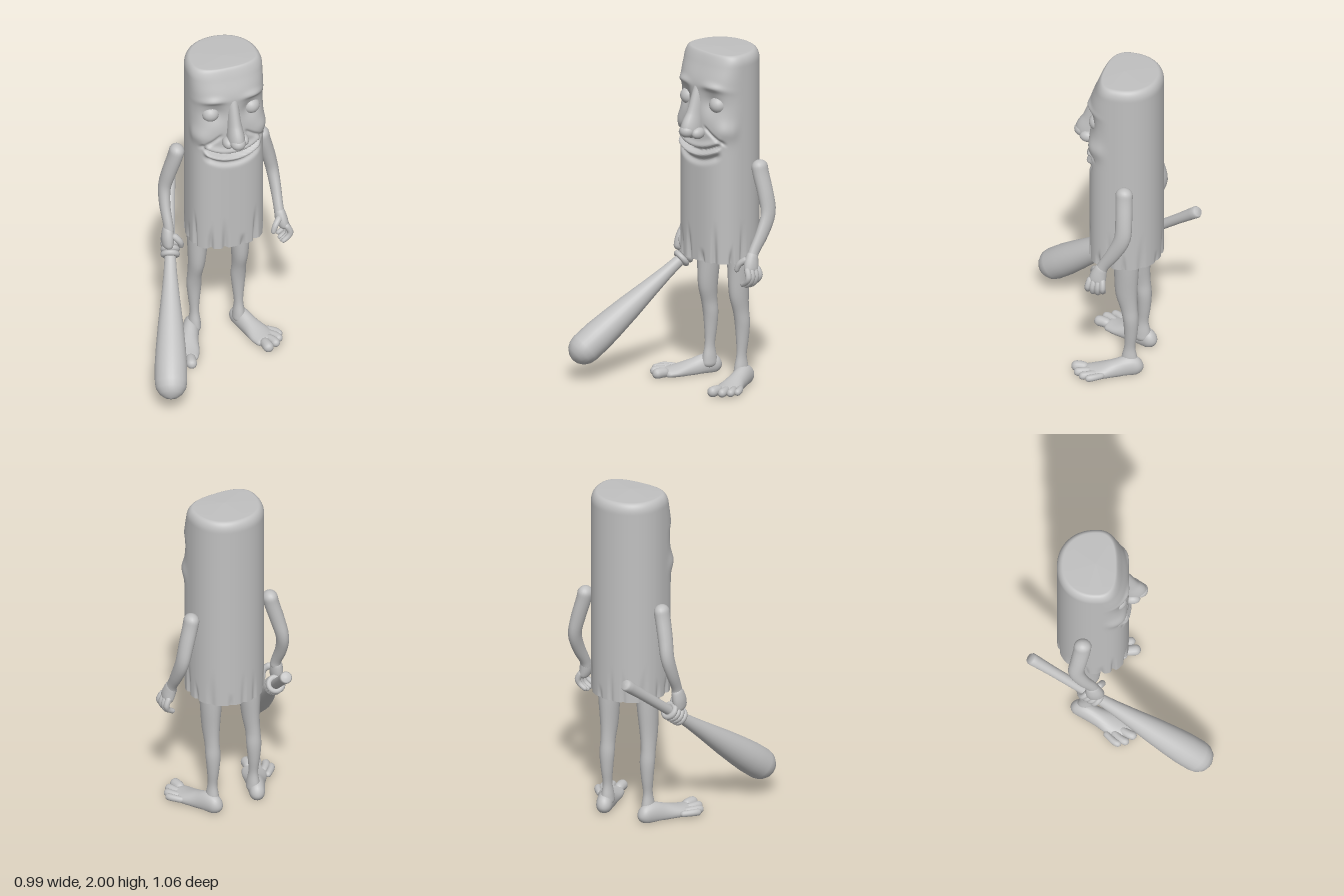
import * as THREE from 'three';

const grey = new THREE.MeshStandardMaterial({ color: 0xc0c0c0 });
grey.name = 'light grey';
const CX = 0.11; // centre line of the body

const V = (x, y, z) => new THREE.Vector3(x, y, z);
const clamp01 = t => Math.min(1, Math.max(0, t));
const smooth = (a, b, t) => { t = clamp01((t - a) / (b - a)); return t * t * (3 - 2 * t); };
const bell = (t, w) => Math.exp(-(t * t) / (w * w));

function add(parent, name, geometry) {
  const mesh = new THREE.Mesh(geometry, grey);
  mesh.name = name;
  parent.add(mesh);
  return mesh;
}

// Closed rings joined into one smooth skin; at(i, j) gives each point
function skin(rings, sides, at) {
  const pos = [], idx = [];
  for (let i = 0; i <= rings; i++) {
    for (let j = 0; j < sides; j++) {
      const p = at(i, j);
      pos.push(p.x, p.y, p.z);
      if (i === rings) continue;
      const k = (j + 1) % sides, a = i * sides;
      idx.push(a + j, a + k, a + sides + j, a + k, a + sides + k, a + sides + j);
    }
  }
  const g = new THREE.BufferGeometry();
  g.setAttribute('position', new THREE.Float32BufferAttribute(pos, 3));
  g.setIndex(idx);
  g.computeVertexNormals();
  return g;
}

// Round-ended limb through stations [x, y, z, radius along ref, other radius]
function limb(stations, ref = V(1, 0, 0), rings = 36, sides = 18, floor = -1) {
  const path = new THREE.CatmullRomCurve3(stations.map(s => V(s[0], s[1], s[2])));
  const size = new THREE.CatmullRomCurve3(stations.map((s, i) => V(s[3], s[4] ?? s[3], i * 0.05)));
  const first = path.getPoint(0), last = path.getPoint(1);
  return skin(rings, sides, (i, j) => {
    const t = (1 - Math.cos(Math.PI * i / rings)) / 2;
    const p = path.getPoint(t), r = size.getPoint(t), T = path.getTangent(t);
    const S = ref.clone().addScaledVector(T, -ref.dot(T)).normalize();
    const B = T.clone().cross(S);
    const d = Math.min(p.distanceTo(first), p.distanceTo(last));
    const f = clamp01(d / Math.min(r.x, r.y)), round = Math.sqrt(1 - (1 - f) ** 2);
    const a = 2 * Math.PI * j / sides;
    p.addScaledVector(S, Math.cos(a) * r.x * round).addScaledVector(B, Math.sin(a) * r.y * round);
    p.y = Math.max(floor, p.y);
    return p;
  });
}

function ball(parent, name, x, y, z, rx, ry, rz) {
  const m = add(parent, name, new THREE.SphereGeometry(1, 24, 16));
  m.position.set(x, y, z);
  m.scale.set(rx, ry, rz);
  return m;
}

// Facial relief; X is the distance from the centre line
function faceRelief(X, y) {
  let d = -0.032 * bell(X - 0.115, 0.065) * bell(y - 1.715, 0.07);       // eye sockets
  d += 0.016 * bell(X - 0.12, 0.06) * bell(y - 1.815 + 2 * (X - 0.1) ** 2, 0.022); // brows
  d += 0.018 * bell(X - 0.18, 0.05) * bell(y - 1.555, 0.055);            // cheeks
  const mouth = y - 1.425 - 1.7 * X * X, width = 1 - smooth(0.14, 0.18, X);
  d += width * (0.016 * bell(mouth + 0.024, 0.018) - 0.03 * bell(mouth, 0.011)
    + 0.014 * bell(mouth - 0.027, 0.02) - 0.018 * bell(mouth + 0.062, 0.018));
  const fold = y - 1.57 + 0.75 * (X - 0.07);                             // smile folds
  d -= 0.014 * bell(fold, 0.012) * smooth(0.06, 0.09, X) * (1 - smooth(0.17, 0.2, X));
  return d;
}

function bodyGeometry() {
  const wall = 150, rim = 10, lid = 5, sides = 180;
  return skin(wall + rim + lid, sides, (i, j) => {
    const a = -2 * Math.PI * j / sides, c = Math.cos(a), s = Math.sin(a);
    let y = 0.765 + 1.17 * Math.min(1, i / wall), k = 1;
    if (i > wall) {
      const q = Math.min(1, (i - wall) / rim) * Math.PI / 2;
      y += 0.06 * Math.sin(q);
      k = 1 - 0.16 * (1 - Math.cos(q));
    }
    if (i > wall + rim) {
      const q = (i - wall - rim) / lid;
      y += 0.005 * q;
      k *= 1 - q;
    }
    // Flattened front, rounder back
    const e = s > 0 ? 2 / 2.7 : 2 / 2.15;
    const x = 0.221 * Math.sign(c) * Math.abs(c) ** e;
    const depth = s > 0 ? 0.188 - 0.055 * smooth(1.8, 2, y) : 0.222;
    const z = depth * Math.sign(s) * Math.abs(s) ** e;
    let d = faceRelief(Math.abs(x), y) * smooth(0.05, 0.4, s);
    // Strands along the hem
    const wave = Math.sin(15 * a + 1.5 * Math.sin(4 * a));
    const reach = 0.94 + 0.09 * Math.sin(7 * a + 1);
    d -= 0.02 * Math.max(0, wave) ** 2 * (1 - smooth(0.765, reach, y)) * (0.45 + 0.55 * clamp01(s + 0.6));
    return V(CX + x * k + c * d, y, -0.133 + z * k + s * d);
  });
}

function makeHead(g) {
  add(g, 'body', bodyGeometry());
  const base = add(g, 'bodyUnderside', new THREE.CircleGeometry(1, 48));
  base.rotation.x = Math.PI / 2;
  base.scale.set(0.213, 0.193, 1);
  base.position.set(CX, 0.768, -0.147);
  add(g, 'nose', limb([
    [CX, 1.87, 0.01, 0.03, 0.02], [CX, 1.76, 0.025, 0.033, 0.045], [CX, 1.64, 0.052, 0.04, 0.062],
    [CX, 1.555, 0.08, 0.05, 0.078], [CX, 1.5, 0.085, 0.045, 0.06]], V(1, 0, 0), 40, 24));
  ball(g, 'noseTip', CX, 1.548, 0.117, 0.045, 0.04, 0.048);
  for (const s of [-1, 1]) {
    ball(g, 'nostril', CX + s * 0.048, 1.535, 0.075, 0.03, 0.034, 0.045);
    ball(g, 'eye', CX + s * 0.122, 1.705, -0.01, 0.052, 0.05, 0.052);
  }
}

function makeLegs(g) {
  // Each foot: ankle x, heel x, ball-of-foot x, then toe tips [x, z, radius]
  const legs = [
    ['left', 0.225, 0.213, 0.325, [[0.3, 0.1, 0.031], [0.35, 0.072, 0.025], [0.38, 0.035, 0.023], [0.395, -0.005, 0.02]]],
    ['right', -0.042, -0.028, -0.175, [[-0.16, 0.1, 0.031], [-0.212, 0.07, 0.025], [-0.245, 0.028, 0.023], [-0.256, -0.015, 0.02]]],
  ];
  for (const [side, x, heel, front, toes] of legs) {
    const h = side === 'left' ? 0 : 0.012;
    add(g, side + 'Leg', limb([
      [x + h, 0.86, -0.175, 0.068, 0.078], [x + h, 0.7, -0.177, 0.06, 0.072], [x + h / 2, 0.54, -0.177, 0.048, 0.064],
      [x, 0.44, -0.192, 0.041, 0.05], [x, 0.36, -0.203, 0.043, 0.045], [x, 0.26, -0.203, 0.034, 0.038],
      [x, 0.17, -0.197, 0.026, 0.032], [x, 0.1, -0.195, 0.034, 0.045], [x, 0.03, -0.195, 0.04, 0.055]], V(1, 0, 0), 50, 20));
    const across = V(0.3, 0, heel - front).normalize();
    const mid = t => heel + (front - heel) * t;
    add(g, side + 'Foot', limb([
      [heel, 0.035, -0.275, 0.04, 0.04], [mid(0.22), 0.045, -0.205, 0.048, 0.065], [mid(0.5), 0.03, -0.12, 0.055, 0.056],
      [mid(0.8), 0.02, -0.03, 0.072, 0.037], [front, 0.015, 0.05, 0.062, 0.028]], across, 36, 24, 0.003));
    toes.forEach(([tx, tz, r], n) => add(g, side + 'Toe', limb([
      [mid(0.85) + (tx - front) * 0.5, 0.025, tz - 0.075, r * 0.9], [tx, 0.028, tz - 0.015, r],
      [tx + (tx - heel) * 0.06, 0.022, tz + 0.026 - n * 0.002, r]], across, 16, 14, 0)));
  }
}

function makeArms(g) {
  add(g, 'leftArm', limb([
    [0.36, 1.365, -0.205, 0.045, 0.05], [0.375, 1.29, -0.207, 0.043, 0.05], [0.408, 1.17, -0.215, 0.041, 0.049],
    [0.432, 1.06, -0.213, 0.036, 0.048], [0.437, 0.95, -0.162, 0.031, 0.042], [0.433, 0.85, -0.1, 0.028, 0.034],
    [0.435, 0.79, -0.075, 0.032, 0.04]]));
  add(g, 'leftPalm', limb([[0.432, 0.86, -0.098, 0.026, 0.03], [0.44, 0.79, -0.075, 0.035, 0.047],
    [0.455, 0.73, -0.065, 0.028, 0.052]], V(1, 0, 0), 20, 16));
  for (let i = 0; i < 4; i++) {
    const z = -0.108 + i * 0.029, low = 0.012 * Math.abs(i - 1.4);
    add(g, 'leftFinger', limb([[0.45, 0.775, z * 0.8 - 0.015, 0.018], [0.475, 0.725, z, 0.018],
      [0.465, 0.68 + low, z + 0.004, 0.016], [0.42, 0.648 + low, z + 0.006, 0.014]], V(0, 0, 1), 18, 10));
  }
  add(g, 'leftThumb', limb([[0.43, 0.82, -0.06, 0.02], [0.39, 0.785, -0.03, 0.018],
    [0.37, 0.735, -0.02, 0.014]], V(0, 0, 1), 16, 10));

  add(g, 'rightArm', limb([
    [-0.135, 1.365, -0.21, 0.045, 0.05], [-0.15, 1.29, -0.215, 0.043, 0.05], [-0.18, 1.17, -0.235, 0.041, 0.048],
    [-0.203, 1.06, -0.25, 0.036, 0.046], [-0.214, 0.95, -0.215, 0.031, 0.04], [-0.212, 0.85, -0.165, 0.028, 0.034],
    [-0.21, 0.79, -0.15, 0.032, 0.038]]));
  add(g, 'rightPalm', limb([[-0.212, 0.85, -0.165, 0.027, 0.03], [-0.22, 0.775, -0.15, 0.036, 0.05],
    [-0.225, 0.7, -0.135, 0.028, 0.05]], V(1, 0, 0), 20, 16));
  add(g, 'rightThumb', limb([[-0.2, 0.8, -0.125, 0.02], [-0.165, 0.76, -0.1, 0.019],
    [-0.15, 0.705, -0.115, 0.015]], V(0, 0, 1), 16, 10));
}

function makeBat(g) {
  const bat = new THREE.Group();
  bat.name = 'batAndGrip';
  const profile = [[0, 0], [0.035, 0.008], [0.066, 0.03], [0.086, 0.062], [0.093, 0.1], [0.093, 0.2], [0.086, 0.3],
    [0.073, 0.44], [0.054, 0.6], [0.039, 0.74], [0.031, 0.86], [0.029, 1.0], [0.03, 1.2], [0.034, 1.32],
    [0.035, 1.35], [0.028, 1.362], [0, 1.364]];
  add(bat, 'bat', new THREE.LatheGeometry(profile.map(p => new THREE.Vector2(...p)), 28));
  // Fingers curled round the handle
  for (let i = 0; i < 4; i++) {
    const f = add(bat, 'rightFinger', new THREE.TorusGeometry(0.039, 0.0175, 10, 24));
    f.rotation.x = Math.PI / 2;
    f.position.y = 0.855 + i * 0.03;
  }
  bat.position.set(-0.433, 0.135, 0.507);
  bat.quaternion.setFromUnitVectors(V(0, 1, 0), V(0.33, 0.775, -0.95).normalize());
  g.add(bat);
}

export function createModel() {
  const g = new THREE.Group();
  g.name = 'figureWithBat';
  makeHead(g);
  makeLegs(g);
  makeArms(g);
  makeBat(g);
  return g;
}
